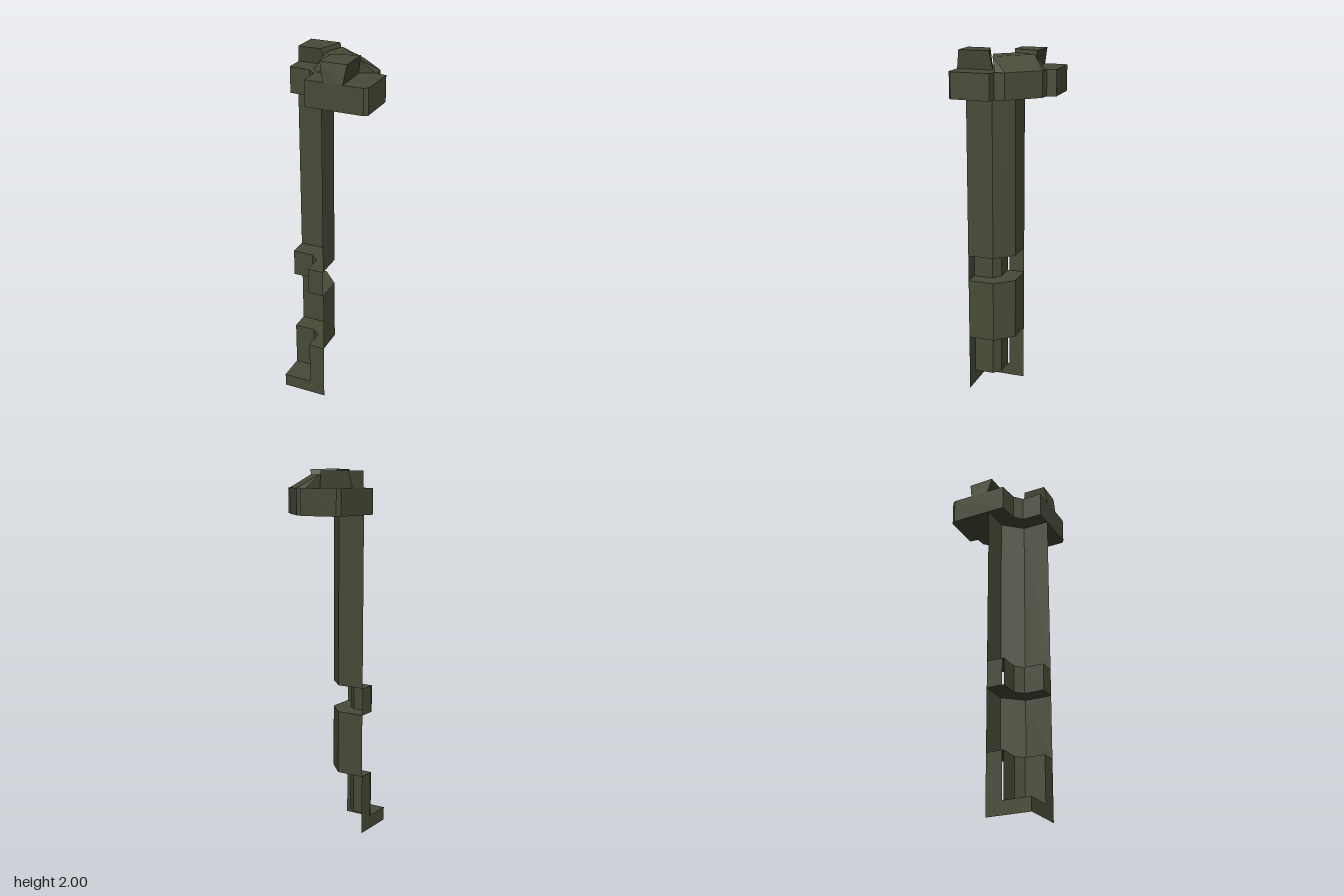
import * as THREE from 'three';
import { ConvexGeometry } from 'three/addons/geometries/ConvexGeometry.js';

export function createModel() {
  const group = new THREE.Group();
  const olive = new THREE.MeshStandardMaterial({ color: 0x484b38, side: THREE.DoubleSide, flatShading: true });
  olive.name = 'dark olive';

  const add = (name, geometry) => {
    const mesh = new THREE.Mesh(geometry, olive);
    mesh.name = name;
    group.add(mesh);
    return mesh;
  };
  // mirror [x, z] across the diagonal of the corner
  const flip = ([x, z]) => [-z, -x];
  const shapeOf = (pts) => new THREE.Shape(pts.map(([x, z]) => new THREE.Vector2(x, z)));

  // upright open shell along a plan polyline
  const wall = (name, pts, y0, y1) => {
    const pos = [];
    for (let i = 0; i < pts.length - 1; i++) {
      const [ax, az] = pts[i], [bx, bz] = pts[i + 1];
      pos.push(ax, y0, az, ax, y1, az, bx, y1, bz, ax, y0, az, bx, y1, bz, bx, y0, bz);
    }
    const g = new THREE.BufferGeometry();
    g.setAttribute('position', new THREE.Float32BufferAttribute(pos, 3));
    g.computeVertexNormals();
    return add(name, g);
  };
  // flat horizontal plate with a plan outline
  const ledge = (name, pts, y) =>
    add(name, new THREE.ShapeGeometry(shapeOf(pts)).rotateX(Math.PI / 2).translate(0, y, 0));

  // plan sections, from the right end round to the back end
  const column = [[0, 0.25], [0, 0.1], [-0.095, 0], [-0.25, 0]];
  const recess = [[-0.09, 0.25], [-0.09, 0.138], [-0.135, 0.1], [-0.25, 0.1]];
  const ring = [...column, ...[...recess].reverse()];

  // base strips against both walls
  wall('baseSkirt', [[0, 0.25], [-0.25, 0.25], [-0.25, 0]], 0, 0.075);
  ledge('baseLedge', [...recess, [-0.25, 0.25]], 0.075);

  // recessed bands, with the wall strips beside them
  for (const [y0, y1] of [[0.075, 0.33], [0.68, 0.83]]) {
    wall('recessBand', recess, y0, y1);
    const strip = [[0, 0.25], [-0.09, 0.25]];
    wall('wallStrip', strip, y0, y1);
    wall('wallStrip', strip.map(flip), y0, y1);
  }
  for (const y of [0.33, 0.68, 0.83]) ledge('columnLedge', ring, y);

  // column shells
  wall('lowerColumn', column, 0.33, 0.68);
  wall('upperColumn', column, 0.83, 1.76);

  // overhanging head
  const halfHead = [[-0.09, 0.25], [0.225, 0.25], [0.245, 0.235], [0.25, 0.02], [0.2, 0.013], [0.195, -0.043]];
  const outline = [...halfHead, ...halfHead.map(flip).reverse(), [-0.135, 0.1], [-0.09, 0.138]];
  add('head', new THREE.ExtrudeGeometry(shapeOf(outline), { depth: 0.14, bevelEnabled: false })
    .rotateX(Math.PI / 2).translate(0, 1.9, 0));

  const hull = (name, levels) => add(name, new ConvexGeometry(
    levels.flatMap(([y, pts]) => pts.map(([x, z]) => new THREE.Vector3(x, y, z)))));

  // sloping middle stone between the two cap blocks
  hull('middleStone', [
    [1.9, [[0.195, -0.043], [0.043, -0.195], [0.19, 0.013], [-0.013, -0.19], [-0.12, 0.08], [-0.08, 0.12]]],
    [1.97, [[-0.09, 0], [-0.05, -0.12], [0.12, 0.05], [0, 0.09], [-0.05, 0.04]]],
  ]);

  // cap blocks, one on each arm
  const foot = [[0.01, 0.25], [0.115, 0.25], [0.115, 0.05], [0.01, 0.09]];
  const crown = [[-0.012, 0.238], [0.132, 0.234], [0.132, 0.066], [-0.012, 0.112]];
  hull('rightCapBlock', [[1.9, foot], [2, crown]]);
  hull('backCapBlock', [[1.9, foot.map(flip)], [1.988, crown.map(flip)]]);

  return group;
}
